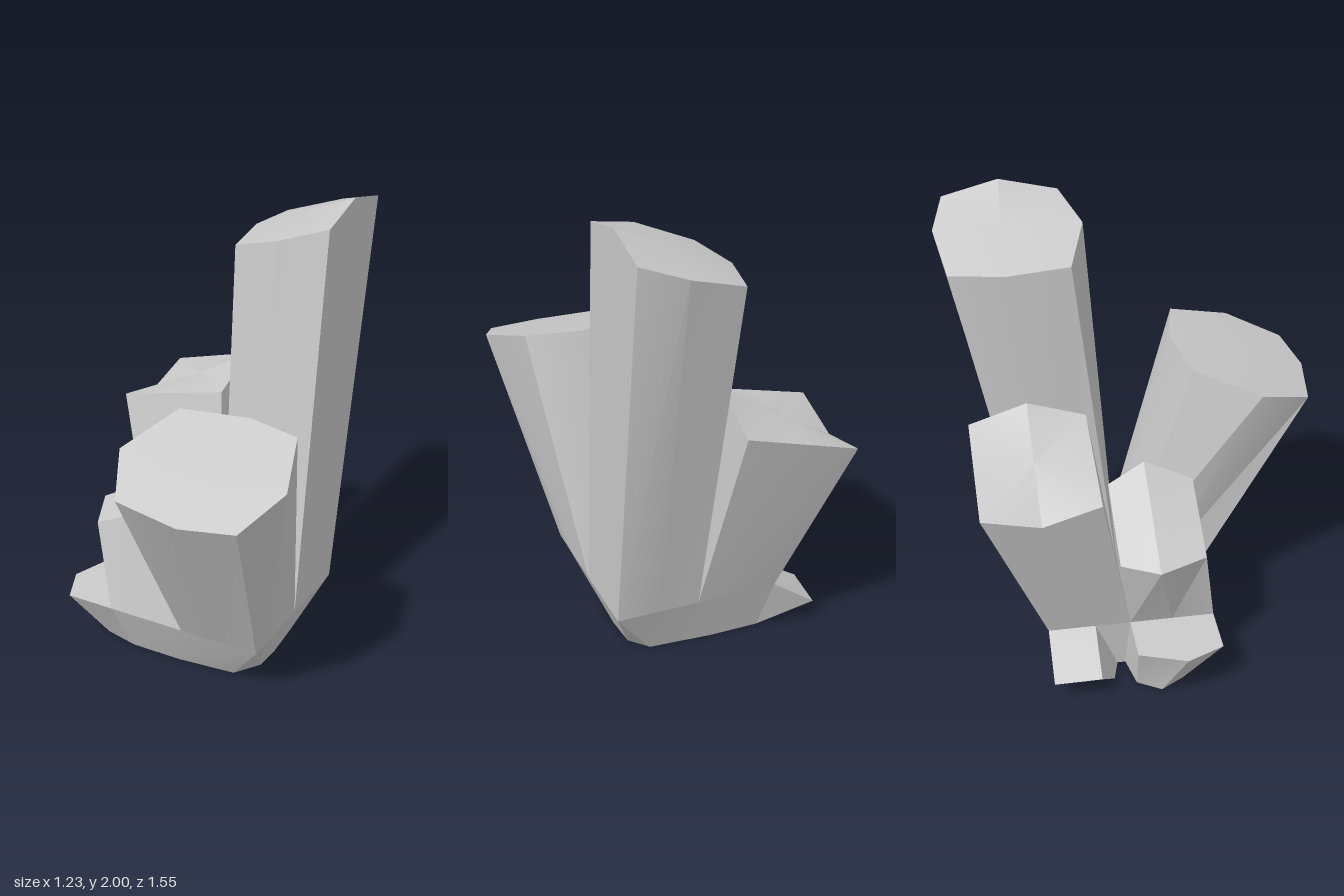
import * as THREE from 'three';
import { toCreasedNormals } from 'three/addons/utils/BufferGeometryUtils.js';

const material = new THREE.MeshStandardMaterial({ color: 0xcccccc });
const TOP = 0.245; // height of the base's upper face

const average = (points) =>
  points.reduce((s, p) => s.map((v, k) => v + p[k] / points.length), [0, 0, 0]);

// Closed solid between two rings of [x, y, z], listed counterclockwise from above.
// The upper cap is a fan around `peak`.
function loft(name, lower, upper, peak = average(upper)) {
  const pos = [];
  const tri = (...corners) => corners.forEach((c) => pos.push(...c));
  const floor = average(lower);
  lower.forEach((a, i) => {
    const j = (i + 1) % lower.length;
    tri(a, lower[j], upper[j]);
    tri(a, upper[j], upper[i]);
    tri(peak, upper[i], upper[j]);
    tri(floor, lower[j], a);
  });
  const geometry = new THREE.BufferGeometry();
  geometry.setAttribute('position', new THREE.Float32BufferAttribute(pos, 3));
  const mesh = new THREE.Mesh(toCreasedNormals(geometry, 0.4), material);
  mesh.name = name;
  return mesh;
}

// Crystal growing from a square cell of the base; its top ring has 8 points,
// with a ridge between the middles of its two x sides.
function crystal(name, x0, x1, z0, z1, top) {
  const xm = (x0 + x1) / 2, zm = (z0 + z1) / 2;
  const cell = [[x0, z1], [xm, z1], [x1, z1], [x1, zm], [x1, z0], [xm, z0], [x0, z0], [x0, zm]];
  return loft(name, at(TOP, cell), top, average([top[3], top[7]]));
}

// Flat ring at one height
const at = (y, ring) => ring.map(([x, z]) => [x, y, z]);

export function createModel() {
  const group = new THREE.Group();
  group.name = 'crystalCluster';

  // Tapered rock base
  group.add(loft('base',
    at(0, [[-0.29, 0.165], [-0.06, 0.165], [0.2, 0.14], [0.275, 0.03], [0.28, -0.1],
      [0.27, -0.25], [0.2, -0.33], [-0.07, -0.35], [-0.29, -0.35], [-0.3, -0.1]]),
    at(TOP, [[-0.33, 0.28], [0.02, 0.28], [0.38, 0.28], [0.38, 0.2], [0.38, -0.08],
      [0.38, -0.36], [0.38, -0.43], [0.02, -0.43], [-0.33, -0.43], [-0.33, -0.08]])));

  // Stubs on the base's right side
  group.add(loft('frontStub',
    at(0, [[-0.44, 0.13], [-0.29, 0.165], [-0.29, -0.1], [-0.44, -0.07], [-0.5, 0.03]]),
    at(TOP, [[-0.545, 0.28], [-0.33, 0.28], [-0.33, -0.08], [-0.545, -0.08], [-0.615, 0.12]])));
  group.add(loft('backStub',
    at(0, [[-0.4, -0.16], [-0.29, -0.13], [-0.29, -0.35], [-0.38, -0.3]]),
    [[-0.53, 0.12, -0.23], [-0.33, TOP, -0.23], [-0.33, TOP, -0.43], [-0.52, 0.11, -0.43]]));

  // Crystals
  group.add(crystal('tallCrystal', 0.02, 0.38, -0.43, -0.08, [
    [-0.02, 1.8, -0.26], [0.2, 1.88, -0.185], [0.4, 1.94, -0.26], [0.4, 2, -0.5],
    [0.4, 1.94, -0.73], [0.22, 1.88, -0.78], [-0.02, 1.8, -0.74], [-0.06, 1.8, -0.52]]));
  group.add(crystal('frontCrystal', 0.02, 0.38, -0.08, 0.28, [
    [-0.005, 1.095, 0.73], [0.29, 1.08, 0.775], [0.52, 1.095, 0.73], [0.61, 1.18, 0.5],
    [0.52, 1.275, 0.233], [0.29, 1.28, 0.183], [-0.005, 1.275, 0.233], [-0.12, 1.19, 0.505]]));
  group.add(crystal('backCrystal', -0.33, 0.02, -0.43, -0.08, [
    [-0.54, 1.02, -0.22], [-0.3, 1.08, -0.22], [-0.06, 1.14, -0.22], [-0.06, 1.22, -0.46],
    [-0.06, 1.14, -0.7], [-0.3, 1.07, -0.7], [-0.54, 1, -0.7], [-0.54, 0.945, -0.46]]));
  group.add(crystal('shortCrystal', -0.33, 0.02, -0.08, 0.28, [
    [-0.42, 0.625, 0.225], [-0.25, 0.71, 0.225], [-0.085, 0.79, 0.225], [-0.065, 0.885, 0.02],
    [-0.085, 0.8, -0.135], [-0.25, 0.715, -0.135], [-0.43, 0.63, -0.135], [-0.51, 0.63, 0.02]]));

  return group;
}
